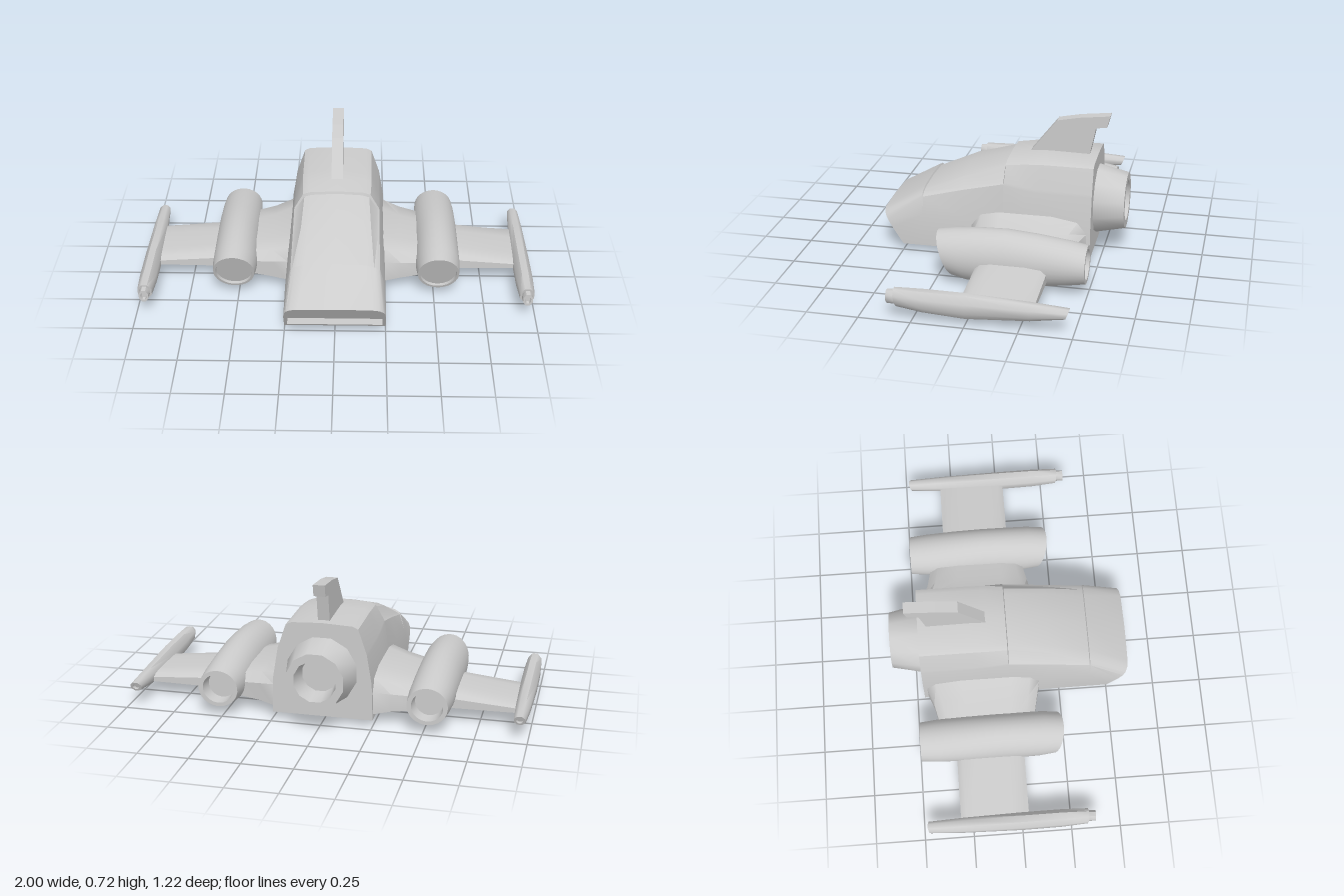
import * as THREE from 'three';
import { toCreasedNormals } from 'three/addons/utils/BufferGeometryUtils.js';

const material = new THREE.MeshStandardMaterial({ color: 0xcccccc });

function addMesh(parent, name, geometry) {
  const mesh = new THREE.Mesh(geometry, material);
  mesh.name = name;
  parent.add(mesh);
}

// Skin over a list of equal-length rings, capped at both ends
function loft(rings, crease = 0.6) {
  const out = [];
  const tri = (...pts) => pts.forEach((p) => out.push(...p));
  const middle = (r) => [0, 1, 2].map((k) => r.reduce((s, p) => s + p[k], 0) / r.length);
  const n = rings[0].length;
  const first = rings[0], last = rings[rings.length - 1];
  const c0 = middle(first), c1 = middle(last);
  for (let j = 0; j < n; j++) {
    const k = (j + 1) % n;
    for (let i = 0; i < rings.length - 1; i++) {
      const a = rings[i], b = rings[i + 1];
      tri(a[j], a[k], b[k]);
      tri(a[j], b[k], b[j]);
    }
    tri(first[k], first[j], c0);
    tri(last[j], last[k], c1);
  }
  const geometry = new THREE.BufferGeometry();
  geometry.setAttribute('position', new THREE.Float32BufferAttribute(out, 3));
  return toCreasedNormals(geometry, crease);
}

// Elliptical ring facing z; slant leans it forward with height
function ellipse(n, cx, z, cy, rx, ry, slant = 0) {
  return Array.from({ length: n }, (_, i) => {
    const a = ((i + 0.5) / n) * Math.PI * 2;
    const y = ry * Math.sin(a);
    return [cx + rx * Math.cos(a), cy + y, z + slant * y];
  });
}

// Mirrored hull section: bottom, chine, side, canopy edge, shoulder, crown
function hullSection(z, side, edge, inner, shoulder, crown, top) {
  const half = [[0.25, 0.035], [0.25, 0.05], side, edge, inner, shoulder, crown];
  const full = [...half, [0, top], ...half.map(([x, y]) => [-x, y]).reverse()];
  return full.map(([x, y]) => [x, y, typeof z === 'function' ? z(y) : z]);
}

function hull() {
  const noseZ = (y) => 0.5 + (y - 0.035) * 0.64;
  const nose = hullSection(noseZ, [0.25, 0.12], [0.245, 0.16], [0.235, 0.18], [0.215, 0.195], [0.18, 0.203], 0.207);
  const inset = (depth) => nose.map(([x, y]) => {
    const v = 0.12 + (y - 0.12) * 0.86;
    return [x * 0.94, v, noseZ(v) - depth];
  });
  return loft([
    hullSection(-0.46, [0.245, 0.22], [0.222, 0.36], [0.219, 0.375], [0.178, 0.495], [0.15, 0.508], 0.515),
    hullSection(-0.2, [0.245, 0.22], [0.222, 0.36], [0.219, 0.375], [0.178, 0.495], [0.15, 0.509], 0.52),
    hullSection(-0.12, [0.245, 0.22], [0.222, 0.37], [0.219, 0.385], [0.177, 0.49], [0.147, 0.504], 0.513),
    // canopy set slightly into the shell
    hullSection(-0.018, [0.245, 0.22], [0.22, 0.385], [0.216, 0.4], [0.172, 0.478], [0.14, 0.49], 0.497),
    hullSection(-0.014, [0.245, 0.22], [0.218, 0.392], [0.205, 0.402], [0.165, 0.466], [0.13, 0.477], 0.485),
    hullSection(0.19, [0.246, 0.21], [0.218, 0.345], [0.208, 0.352], [0.175, 0.405], [0.14, 0.417], 0.427),
    hullSection(0.4, [0.247, 0.2], [0.22, 0.29], [0.212, 0.297], [0.19, 0.308], [0.15, 0.319], 0.326),
    hullSection(0.404, [0.247, 0.2], [0.222, 0.292], [0.215, 0.302], [0.195, 0.314], [0.15, 0.327], 0.334),
    // nose intake
    nose, inset(0), inset(0.05),
  ], 0.5);
}

// Flat-bottomed wing section at station x
function wingSection(x, rear, front, bottom, top) {
  const c = front - rear, h = top - bottom;
  return [[0, 0], [0, 0.6], [0.08, 0.9], [0.3, 1], [0.75, 1], [0.92, 0.9], [1, 0.6], [1, 0]]
    .map(([u, v]) => [x, bottom + v * h, rear + u * c]);
}

function wing(side, sections) {
  const rings = sections.map((s) => wingSection(...s).map(([x, y, z]) => [x * side, y, z]));
  return loft(side > 0 ? rings : rings.reverse(), 0.7);
}

export function createModel() {
  const model = new THREE.Group();
  model.name = 'spaceship';

  addMesh(model, 'hull', hull());

  // Main exhaust, hollow at the back
  addMesh(model, 'mainNozzle', loft([
    [-0.5, 0.09], [-0.61, 0.105], [-0.61, 0.143], [-0.45, 0.178],
  ].map(([z, r]) => ellipse(12, 0, z, 0.27, r, r))));

  // Tail fin
  const finShape = new THREE.Shape([
    [-0.09, 0.475], [-0.25, 0.68], [-0.36, 0.702], [-0.515, 0.72],
    [-0.5, 0.66], [-0.445, 0.652], [-0.41, 0.48],
  ].map(([z, y]) => new THREE.Vector2(z, y)));
  const fin = new THREE.ExtrudeGeometry(finShape, { depth: 0.058, bevelEnabled: false });
  fin.rotateY(-Math.PI / 2).translate(0.029, 0, 0);
  addMesh(model, 'tailFin', fin);

  for (const side of [1, -1]) {
    const label = side > 0 ? 'left' : 'right';

    addMesh(model, label + 'InnerWing', wing(side, [
      [0.18, -0.455, 0.165, 0.05, 0.275],
      [0.25, -0.44, 0.14, 0.06, 0.245],
      [0.33, -0.41, 0.122, 0.068, 0.218],
      [0.46, -0.38, 0.095, 0.075, 0.19],
    ]));
    addMesh(model, label + 'OuterWing', wing(side, [
      [0.58, -0.31, 0.035, 0.073, 0.157],
      [0.95, -0.31, 0.035, 0.077, 0.113],
    ]));

    // Engine: rear exhaust recess, barrel, slanted front intake
    addMesh(model, label + 'Engine', loft([
      [-0.42, 0.143, 0.07, 0.07, 0],
      [-0.49, 0.143, 0.078, 0.074, 0],
      [-0.49, 0.143, 0.1, 0.093, 0],
      [-0.4, 0.143, 0.108, 0.109, 0],
      [-0.25, 0.143, 0.112, 0.129, 0],
      [-0.1, 0.143, 0.112, 0.142, 0],
      [0.02, 0.143, 0.112, 0.138, 0.1],
      [0.12, 0.143, 0.112, 0.128, 0.25],
      [0.2, 0.145, 0.105, 0.111, 0.38],
      [0.2, 0.145, 0.093, 0.098, 0.38],
      [0.18, 0.145, 0.091, 0.096, 0.38],
    ].map(([z, y, rx, ry, slant]) => ellipse(28, side * 0.52, z, y, rx, ry, slant))));

    // Wingtip cannon with hollow ends
    addMesh(model, label + 'WingtipCannon', loft([
      [-0.45, 0.105, 0.016, 0.014, -0.4],
      [-0.47, 0.106, 0.018, 0.016, -0.4],
      [-0.47, 0.106, 0.03, 0.026, -0.4],
      [-0.3, 0.099, 0.038, 0.045, 0],
      [0, 0.094, 0.044, 0.062, 0],
      [0.2, 0.1, 0.044, 0.056, 0],
      [0.33, 0.107, 0.038, 0.045, 0.15],
      [0.33, 0.107, 0.027, 0.036, 0.15],
      [0.37, 0.107, 0.026, 0.034, 0],
      [0.37, 0.107, 0.016, 0.022, 0],
      [0.35, 0.107, 0.015, 0.02, 0],
    ].map(([z, y, rx, ry, slant]) => ellipse(8, side * 0.958, z, y, rx, ry, slant)), 0.9));
  }
  return model;
}
